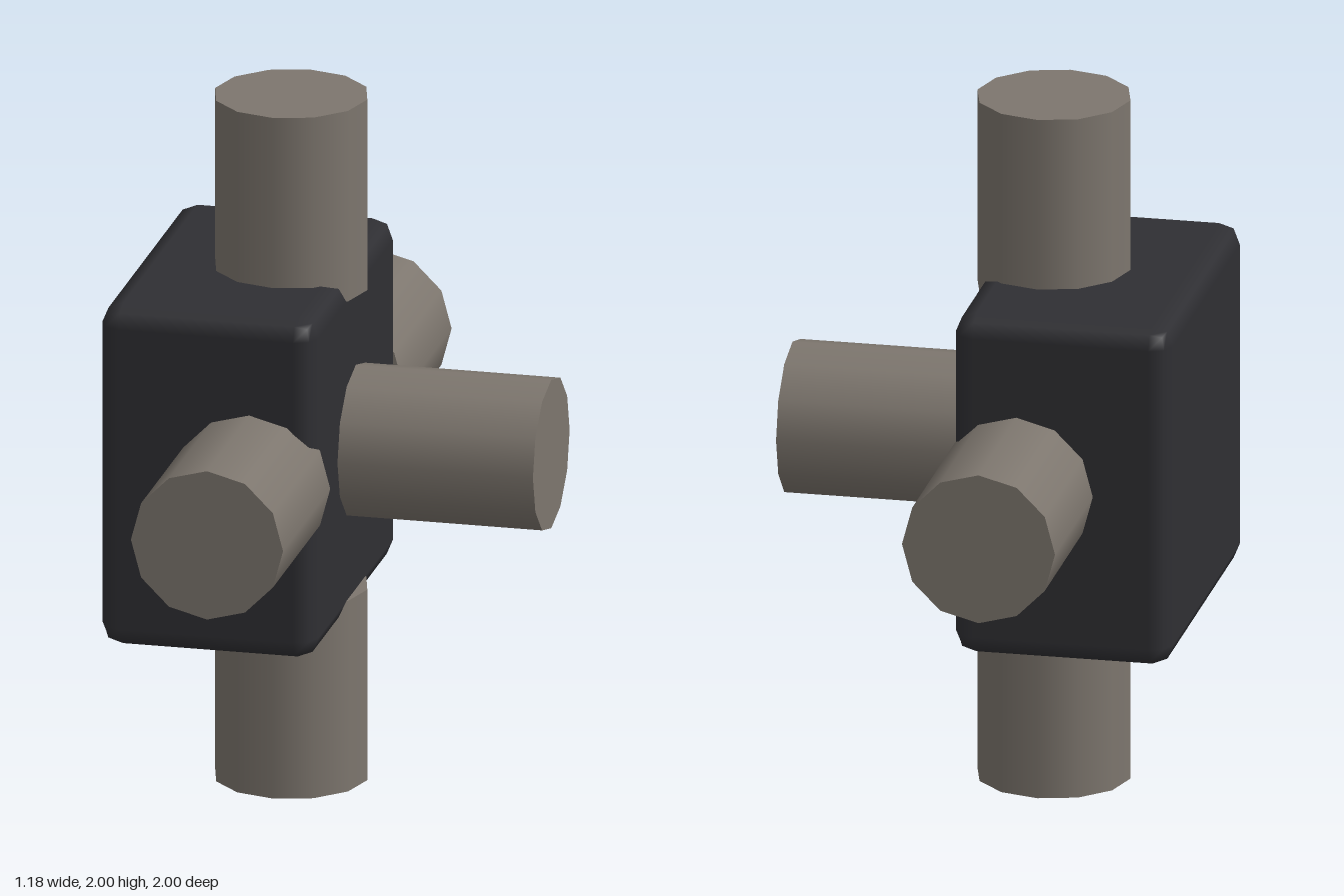
import * as THREE from 'three';
import { RoundedBoxGeometry } from 'three/addons/geometries/RoundedBoxGeometry.js';

export function createModel() {
  const model = new THREE.Group();
  model.name = 'pipeJunction';
  const dark = new THREE.MeshStandardMaterial({ color: 0x2f2f33 });
  const metal = new THREE.MeshStandardMaterial({ color: 0x7d766e });
  const centre = new THREE.Vector3(-0.155, 1, 0);
  const up = new THREE.Vector3(0, 1, 0);

  // Bevelled central block
  const block = new THREE.Mesh(new RoundedBoxGeometry(0.62, 1, 1, 1, 0.06), dark);
  block.name = 'junctionBlock';
  block.position.set(-0.28, 1, 0);
  model.add(block);

  // Twelve-sided pipe running outwards from the hub between two distances
  function addPipe(name, x, y, z, start, end) {
    const dir = new THREE.Vector3(x, y, z);
    const pipe = new THREE.Mesh(new THREE.CylinderGeometry(0.218, 0.218, end - start, 12), metal);
    pipe.name = name;
    pipe.quaternion.setFromUnitVectors(up, dir);
    pipe.position.copy(centre).addScaledVector(dir, (start + end) / 2);
    model.add(pipe);
  }

  addPipe('topPipe', 0, 1, 0, 0.44, 1);
  addPipe('bottomPipe', 0, -1, 0, 0.44, 1);
  addPipe('frontPipe', 0, 0, 1, 0.44, 1);
  addPipe('backPipe', 0, 0, -1, 0.44, 1);
  addPipe('sidePipe', 1, 0, 0, 0.125, 0.745);

  return model;
}
